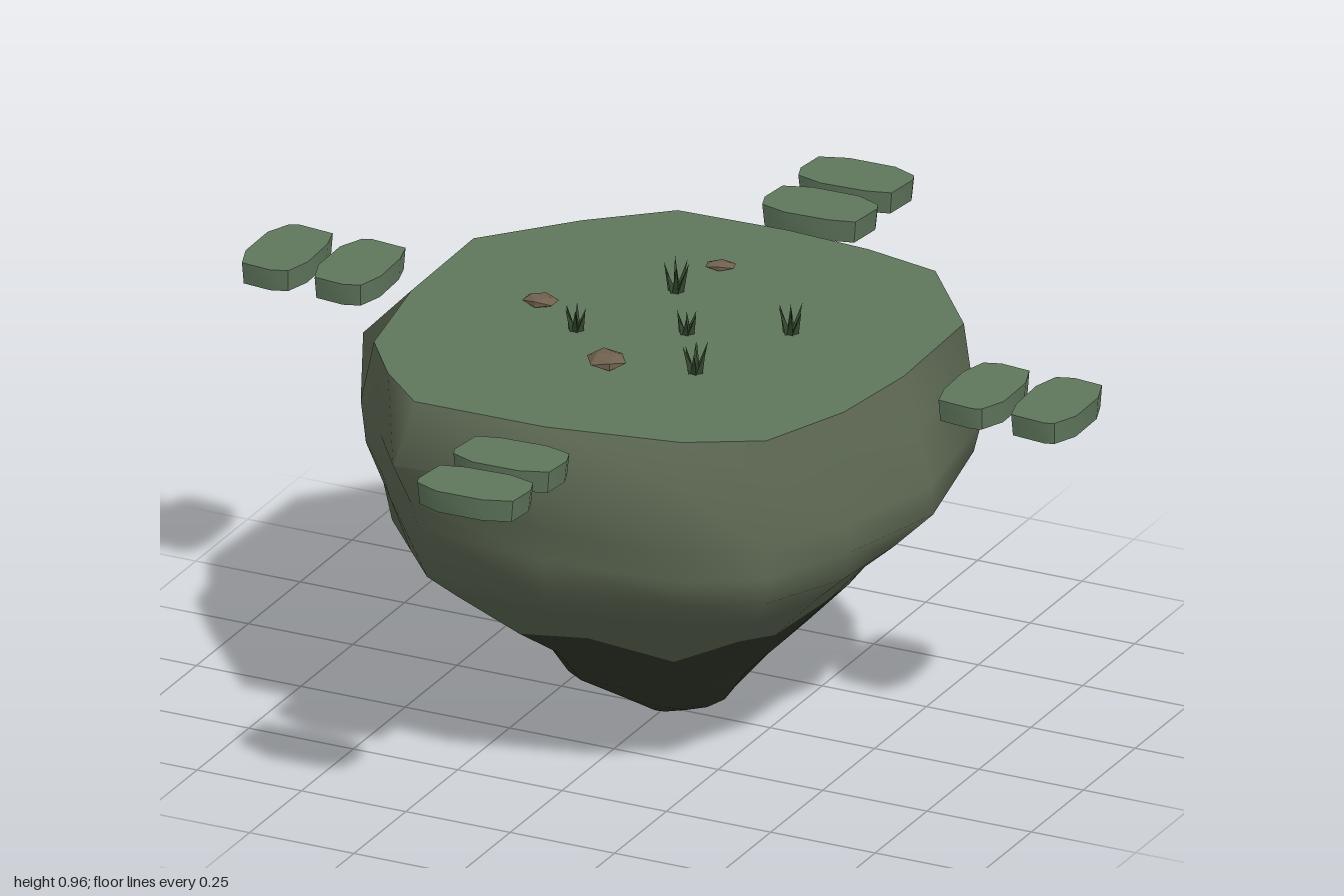
import * as THREE from 'three';
import { toCreasedNormals } from 'three/addons/utils/BufferGeometryUtils.js';

const TOP = 0.885;
// Outline of the flat top, going round from +x towards +z: [x, z, how far the wall bulges beyond it]
const outline = [
  [0.57, 0, 1], [0.54, 0.23, 0.3], [0.46, 0.44, 0.25], [0.3, 0.53, 0.9],
  [0, 0.585, 1], [-0.31, 0.588, 0.8], [-0.43, 0.475, 0.2], [-0.53, 0.34, 0.3],
  [-0.58, 0.06, 1], [-0.585, -0.25, 0.4], [-0.42, -0.44, 0.3], [-0.26, -0.58, 0.2],
  [0, -0.59, 1], [0.2, -0.575, 0.4], [0.38, -0.535, 0.15], [0.56, -0.31, 0.5],
];
// Rock reach at each height: [y, +x, +z, -x, -z]
const reach = [
  [0.885, 0.57, 0.585, 0.58, 0.59],
  [0.77, 0.6, 0.645, 0.69, 0.61],
  [0.64, 0.63, 0.585, 0.645, 0.64],
  [0.575, 0.64, 0.59, 0.535, 0.485],
  [0.48, 0.55, 0.575, 0.55, 0.5],
  [0.41, 0.47, 0.5, 0.46, 0.42],
  [0.25, 0.32, 0.31, 0.33, 0.36],
  [0.2, 0.27, 0.25, 0.25, 0.29],
  [0.12, 0.19, 0.195, 0.21, 0.21],
  [0.045, 0.14, 0.09, 0.09, 0.11],
  [0, 0.02, 0.025, 0.03, 0.03],
];

// Point of the rock wall under outline corner j at height y
function rockPoint(j, y) {
  const [x, z, bulge] = outline[j];
  let i = 0;
  while (i < reach.length - 2 && reach[i + 1][0] > y) i++;
  const a = reach[i], b = reach[i + 1];
  const t = (a[0] - y) / (a[0] - b[0]);
  const ratio = (k) => THREE.MathUtils.lerp(a[k], b[k], t) / reach[0][k];
  const c2 = (x * x) / (x * x + z * z);
  let s = c2 * ratio(x > 0 ? 1 : 3) + (1 - c2) * ratio(z > 0 ? 2 : 4);
  if (s > 1) s = 1 + (s - 1) * bulge;
  if (y < 0.7) s *= 1 + 0.012 * Math.sin(j * 2.1 + y * 11);
  return [x * s, y, z * s];
}

// Skin through closed rings listed from top to bottom
function skin(rings, closeBottom) {
  const n = rings[0].length;
  const index = [];
  for (let i = 0; i < rings.length - 1; i++) {
    for (let j = 0; j < n; j++) {
      const a = i * n + j, b = i * n + ((j + 1) % n);
      index.push(a, b, a + n, b, b + n, a + n);
    }
  }
  if (closeBottom) {
    const base = (rings.length - 1) * n;
    for (let j = 1; j < n - 1; j++) index.push(base, base + j, base + j + 1);
  }
  const g = new THREE.BufferGeometry();
  g.setAttribute('position', new THREE.Float32BufferAttribute(rings.flat(2), 3));
  g.setIndex(index);
  return g;
}

// Flat slab from an [x, z] outline, tapered towards the bottom
function slab(points, bottom, top, bottomScale) {
  const ring = (y, s) => points.map(([x, z]) => [x * s, y, z * s]);
  return toCreasedNormals(skin([ring(top, 0.001), ring(top, 1), ring(bottom, bottomScale)], true), 0.5);
}

export function createModel() {
  const model = new THREE.Group();
  const mat = (color, flatShading = false) => new THREE.MeshStandardMaterial({ color, flatShading });
  const grass = mat(0x5f765c);
  const rock = mat(0x606c56);
  const darkRock = mat(0x33392b);
  const blade = mat(0x35492f, true);
  const brown = mat(0x70614f, true);
  const add = (parent, geometry, material, name) => {
    const mesh = new THREE.Mesh(geometry, material);
    mesh.name = name;
    parent.add(mesh);
    return mesh;
  };

  // Flat grassy top
  const shape = new THREE.Shape(outline.map(([x, z]) => new THREE.Vector2(x, -z)));
  add(model, new THREE.ShapeGeometry(shape).rotateX(-Math.PI / 2).translate(0, TOP, 0), grass, 'grassTop');

  // Rock wall in wavy layers, ending at a jagged rim shared with the dark lower tip
  const ringAt = (y, wave = 0) => outline.map((_, j) => rockPoint(j, y + wave * Math.sin((j * Math.PI) / 4)));
  const rim = outline.map((_, j) => rockPoint(j, (j % 2 ? 0.265 : 0.33) + 0.025 * Math.sin(j * 1.3)));
  const layers = [
    ringAt(TOP), ringAt(0.77, 0.03), ringAt(0.64, -0.015), ringAt(0.575, -0.015), ringAt(0.48, 0.02), ringAt(0.41, 0.01),
  ];
  add(model, toCreasedNormals(skin([...layers, rim], false), 1.1), rock, 'rockWall');
  const tip = skin([rim, ...[0.2, 0.12, 0.045, 0].map((y) => ringAt(y))], true);
  add(model, toCreasedNormals(tip, 1.1), darkRock, 'rockTip');

  // Two stepping stones on each of the four sides
  const stoneOutline = [
    [0.112, -0.058], [0.125, -0.02], [0.117, 0.05], [0.055, 0.072], [-0.055, 0.074],
    [-0.112, 0.05], [-0.12, 0.03], [-0.11, -0.055], [-0.055, -0.07], [0.05, -0.075],
  ];
  const stoneGeo = slab(stoneOutline, 0.835, TOP, 0.96);
  for (let side = 0; side < 4; side++) {
    const arm = new THREE.Group();
    arm.name = 'steppingStones';
    for (const distance of [0.748, 0.922]) {
      add(arm, stoneGeo, grass, 'steppingStone').position.z = distance;
    }
    arm.rotation.y = (side * Math.PI) / 2;
    if (side % 2) arm.position.z = -0.03;
    model.add(arm);
  }

  // Grass tufts: [x, z, height]
  const tufts = [[-0.07, -0.19, 0.075], [0.25, -0.1, 0.072], [0.05, 0, 0.052], [-0.17, 0.09, 0.058], [0.16, 0.18, 0.072]];
  tufts.forEach(([x, z, h], k) => {
    const tuft = new THREE.Group();
    tuft.name = 'grassTuft';
    for (let i = 0; i < 7; i++) {
      const height = h * (0.75 + 0.25 * Math.abs(Math.sin(i * 2.3 + k)));
      const g = new THREE.ConeGeometry(0.009, height, 3).translate(0, height / 2, 0);
      if (i > 0) g.rotateZ(-0.3).translate(0.009, 0, 0);
      add(tuft, g.rotateY((i * Math.PI) / 3 + k), blade, 'grassBlade');
    }
    tuft.position.set(x, TOP, z);
    model.add(tuft);
  });

  // Low faceted pebbles: [x, z, half width, half depth, half height, turn]
  const pebbles = [[-0.04, -0.345, 0.036, 0.026, 0.009, 0.3], [-0.3, 0, 0.042, 0.033, 0.013, 0], [-0.03, 0.225, 0.045, 0.052, 0.016, 0.6]];
  for (const [x, z, w, d, h, turn] of pebbles) {
    const pebble = add(model, new THREE.IcosahedronGeometry(1, 0).scale(w, h, d), brown, 'pebble');
    pebble.position.set(x, TOP + h * 0.7, z);
    pebble.rotation.y = turn;
  }

  return model;
}
